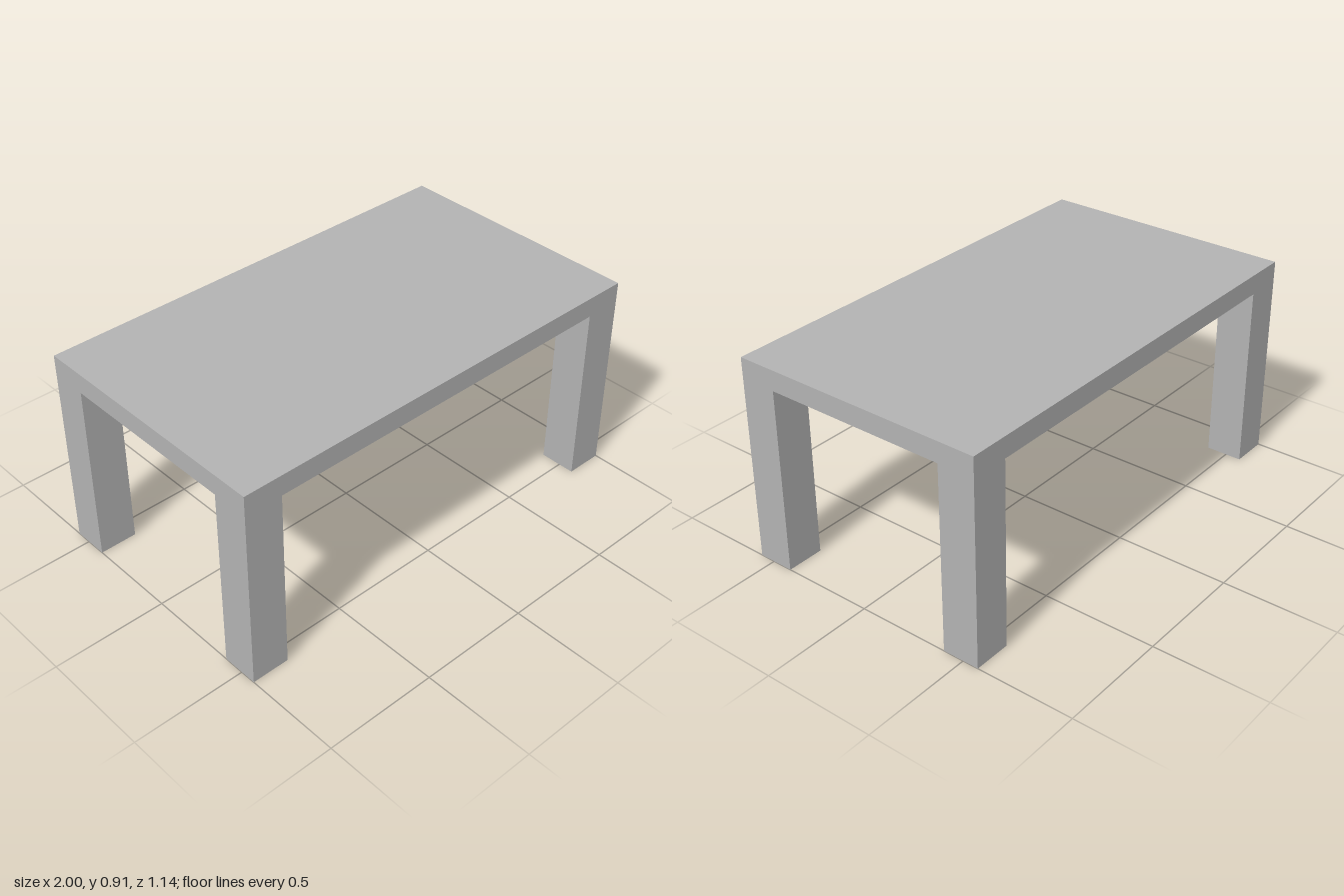
import * as THREE from 'three';

const WIDTH = 2, DEPTH = 1.14, HEIGHT = 0.91, SLAB = 0.09;
const LEG_X = 0.168, LEG_Z = 0.163;

export function createModel() {
  const table = new THREE.Group();
  table.name = 'table';
  const grey = new THREE.MeshStandardMaterial({ color: 0xb2b2b2 });
  grey.name = 'grey';

  // Flat rectangular top
  const top = new THREE.Mesh(new THREE.BoxGeometry(WIDTH, SLAB, DEPTH), grey);
  top.name = 'tableTop';
  top.position.y = HEIGHT - SLAB / 2;
  table.add(top);

  // Four square legs, flush with the corners
  const legHeight = HEIGHT - SLAB;
  const legGeometry = new THREE.BoxGeometry(LEG_X, legHeight, LEG_Z);
  for (const [end, sz] of [['front', 1], ['back', -1]]) {
    for (const [side, sx] of [['Left', 1], ['Right', -1]]) {
      const leg = new THREE.Mesh(legGeometry, grey);
      leg.name = `${end}${side}Leg`;
      leg.position.set(sx * (WIDTH - LEG_X) / 2, legHeight / 2, sz * (DEPTH - LEG_Z) / 2);
      table.add(leg);
    }
  }
  return table;
}
